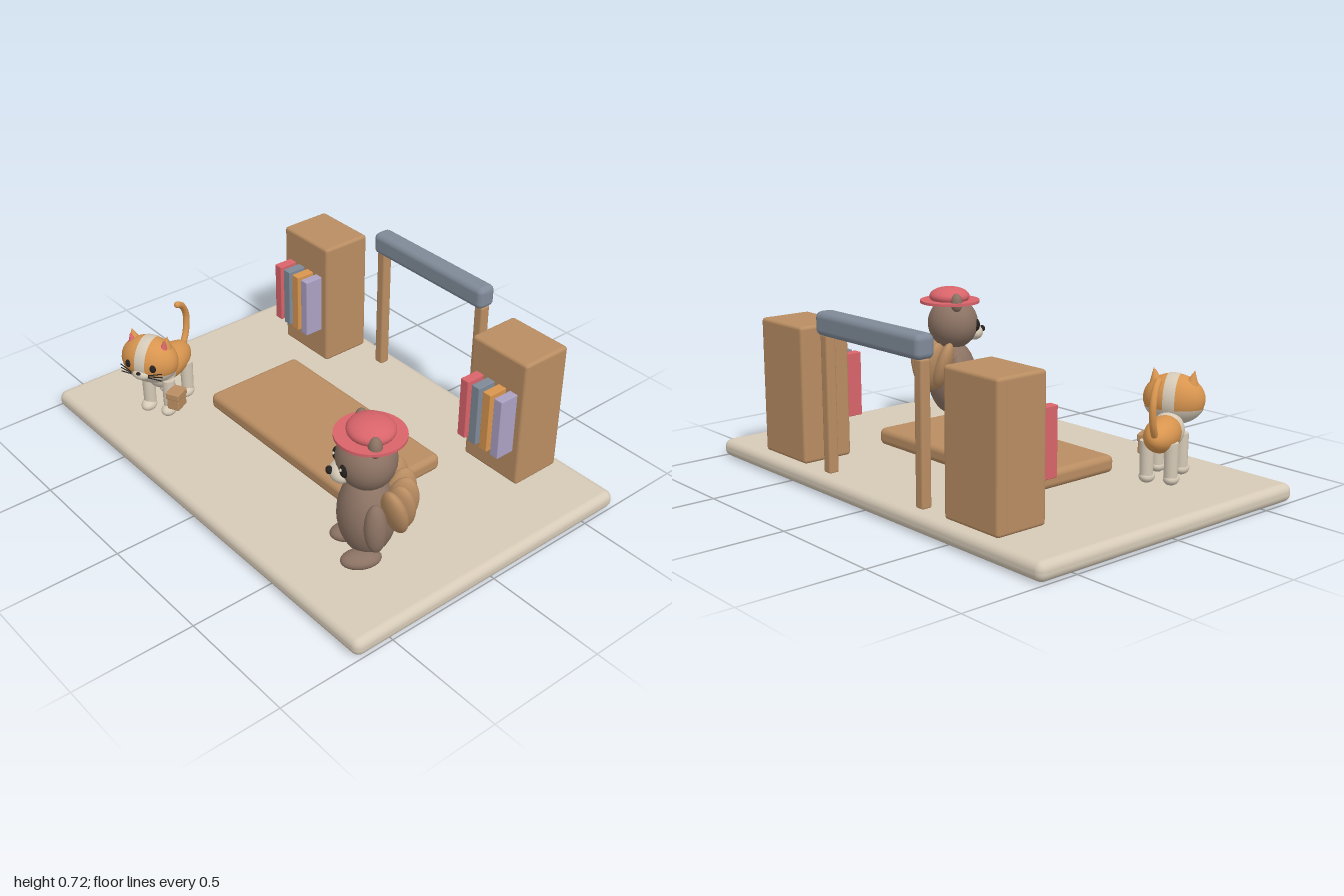
import * as THREE from 'three';
import { RoundedBoxGeometry } from 'three/addons/geometries/RoundedBoxGeometry.js';

const mat = (name, color, side = THREE.FrontSide) => {
  const m = new THREE.MeshStandardMaterial({ color, side });
  m.name = name;
  return m;
};

export function createModel() {
  const cream = mat('cream', 0xd6cab7);
  const wood = mat('wood', 0xb98d62);
  const slate = mat('slate', 0x7f8a98);
  const red = mat('red', 0xd8646a);
  const orange = mat('orange', 0xd8954f);
  const lavender = mat('lavender', 0xaba1c2);
  const brown = mat('brown', 0x8b7263);
  const black = mat('black', 0x25211f);

  const add = (parent, name, geo, material, x = 0, y = 0, z = 0) => {
    const m = new THREE.Mesh(geo, material);
    m.name = name;
    m.position.set(x, y, z);
    parent.add(m);
    return m;
  };
  const box = (p, name, m, [w, h, d], [x, y, z], r = 0.01) =>
    add(p, name, new RoundedBoxGeometry(w, h, d, 3, r), m, x, y, z);
  const ball = (p, name, m, [rx, ry, rz], [x, y, z]) => {
    const b = add(p, name, new THREE.SphereGeometry(1, 28, 18), m, x, y, z);
    b.scale.set(rx, ry, rz);
    return b;
  };
  const group = (parent, name, x, z, yaw) => {
    const g = new THREE.Group();
    g.name = name;
    g.position.set(x, 0, z);
    g.rotation.y = yaw;
    parent.add(g);
    return g;
  };

  const model = new THREE.Group();
  model.name = 'libraryScene';

  // Floor slab and low table
  box(model, 'floor', cream, [2, 0.075, 1.33], [0, 0.0375, 0], 0.033);
  box(model, 'lowTable', wood, [0.935, 0.072, 0.455], [0, 0.119, 0], 0.025);

  // Bookcases with a row of books each
  const bookColours = [red, slate, orange, lavender];
  for (const x of [-0.587, 0.583]) {
    box(model, 'bookcase', wood, [0.29, 0.56, 0.226], [x, 0.355, -0.502], 0.014);
    bookColours.forEach((m, i) =>
      box(model, 'book', m, [0.04, 0.265, 0.1], [x - 0.09 + i * 0.06, 0.357, -0.355], 0.003));
  }

  // Gate: two posts and a beam
  for (const x of [-0.293, 0.293])
    box(model, 'gatePost', wood, [0.045, 0.56, 0.045], [x, 0.35, -0.587], 0.01);
  box(model, 'gateBeam', slate, [0.645, 0.095, 0.085], [0, 0.672, -0.587], 0.025);

  // Bear with hat and a fan of tail lobes
  const bear = group(model, 'bear', 0.645, 0.32, -0.45);
  ball(bear, 'bearBody', brown, [0.125, 0.17, 0.11], [0, 0.26, 0]);
  ball(bear, 'bearHead', brown, [0.125, 0.115, 0.112], [0, 0.508, 0.005]);
  ball(bear, 'bearMuzzle', cream, [0.055, 0.036, 0.042], [0, 0.462, 0.1]);
  ball(bear, 'bearNose', black, [0.018, 0.014, 0.014], [0, 0.475, 0.14]);
  for (const s of [-1, 1]) {
    ball(bear, 'bearEar', brown, [0.03, 0.042, 0.026], [s * 0.09, 0.612, 0]);
    ball(bear, 'bearEye', black, [0.022, 0.028, 0.018], [s * 0.052, 0.503, 0.098]);
    ball(bear, 'eyeGlint', cream, [0.006, 0.006, 0.005], [s * 0.052 + 0.007, 0.512, 0.114]);
    const arm = ball(bear, 'bearArm', brown, [0.04, 0.1, 0.043], [s * 0.122, 0.277, 0]);
    arm.rotation.z = s * 0.08;
    ball(bear, 'bearFoot', brown, [0.05, 0.034, 0.078], [s * 0.08, 0.112, 0.04]);
  }
  add(bear, 'hatBrim', new THREE.CylinderGeometry(0.133, 0.133, 0.012, 40), red, 0, 0.608, -0.008);
  ball(bear, 'hatCrown', red, [0.094, 0.042, 0.09], [0, 0.63, -0.01]);
  for (let i = -3; i <= 3; i++) {
    const a = i * 0.36;
    const lobe = ball(bear, 'tailLobe', wood, [0.036, 0.115, 0.06],
      [Math.sin(a) * 0.135, 0.318 + Math.abs(i) * 0.006, -0.02 - Math.cos(a) * 0.105]);
    lobe.rotation.set(-0.15, -a, -a * 0.3, 'YXZ');
  }

  // Cat
  const cat = group(model, 'cat', -0.62, 0.35, 0.47);
  ball(cat, 'catBody', orange, [0.068, 0.068, 0.13], [0, 0.262, -0.055]);
  ball(cat, 'catChest', cream, [0.064, 0.072, 0.062], [0, 0.258, 0.03]);
  const headPos = [0, 0.367, 0.106];
  ball(cat, 'catHead', orange, [0.124, 0.1, 0.09], headPos);

  // Cream lower face and forehead stripe as thin shells over the head
  const jaw = add(cat, 'catJaw', new THREE.SphereGeometry(1, 32, 12, 0, Math.PI * 2, 1.88, Math.PI - 1.88),
    cream, ...headPos);
  jaw.scale.set(0.126, 0.102, 0.092);
  const band = new THREE.SphereGeometry(1, 40, 4, 0, Math.PI * 2, Math.PI / 2 - 0.19, 0.38);
  band.rotateZ(Math.PI / 2);
  add(cat, 'headStripe', band, cream, ...headPos).scale.set(0.126, 0.102, 0.092);

  // Cat face
  ball(cat, 'catMuzzle', cream, [0.036, 0.022, 0.02], [0, 0.335, 0.188]);
  ball(cat, 'catNose', black, [0.01, 0.007, 0.007], [0, 0.349, 0.205]);
  for (const s of [-1, 1]) {
    ball(cat, 'catEye', black, [0.014, 0.018, 0.01], [s * 0.056, 0.373, 0.183]);
    const ear = add(cat, 'catEar', new THREE.ConeGeometry(0.04, 0.085, 20), orange, s * 0.074, 0.445, 0.096);
    const inner = add(cat, 'innerEar', new THREE.ConeGeometry(0.028, 0.065, 20), red, s * 0.074, 0.444, 0.114);
    for (const e of [ear, inner]) e.rotation.z = -s * 0.2;
    for (let k = -1; k <= 1; k++) {
      const whisker = add(cat, 'whisker', new THREE.CylinderGeometry(0.0022, 0.0022, 0.06, 6), black,
        s * 0.068, 0.34 + k * 0.011, 0.188);
      whisker.rotation.set(0, s * 0.3, Math.PI / 2 + s * k * 0.2, 'YXZ');
    }
    // Legs and paws
    for (const z of [0.055, -0.1]) {
      add(cat, 'catLeg', new THREE.CylinderGeometry(0.028, 0.026, 0.14, 20), cream, s * 0.048, 0.175, z);
      ball(cat, 'catPaw', cream, [0.031, 0.025, 0.04], [s * 0.048, 0.1, z + 0.01]);
    }
  }

  // Curled tail
  const tailPath = new THREE.CatmullRomCurve3([
    [0.27, -0.16], [0.33, -0.197], [0.41, -0.205], [0.465, -0.175], [0.488, -0.14],
  ].map(([y, z]) => new THREE.Vector3(0, y, z)));
  add(cat, 'catTail', new THREE.TubeGeometry(tailPath, 24, 0.014, 10), orange);
  ball(cat, 'tailTip', orange, [0.014, 0.014, 0.014], [0, 0.488, -0.14]);

  // Little satchel at the cat's side
  box(cat, 'satchel', wood, [0.055, 0.075, 0.07], [0.1, 0.18, 0.085], 0.006);
  box(cat, 'satchelFlap', wood, [0.061, 0.03, 0.076], [0.1, 0.207, 0.085], 0.005);

  return model;
}
